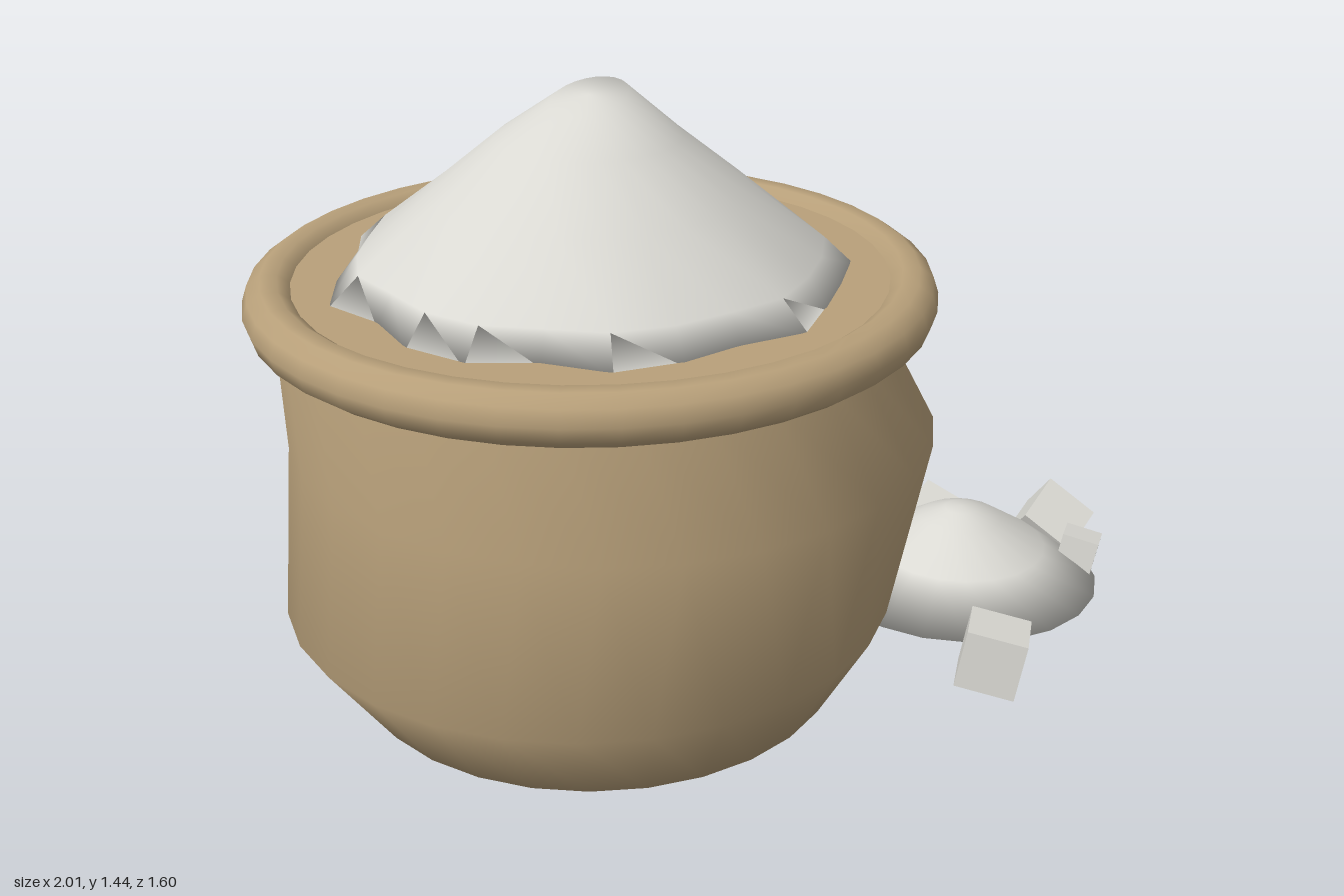
import * as THREE from 'three';

// Closed smooth surface from stacked rings (bottom to top), with a centre point at each end.
// Each ring: { x, z, r, y, dr(i, angle), dy(i, angle) }
function ringSurface(rings, seg, bottomY, topY) {
  const pos = [], index = [];
  rings.forEach(({ x = 0, z = 0, r, y, dr, dy }) => {
    for (let i = 0; i < seg; i++) {
      const a = (i / seg) * Math.PI * 2;
      const rad = r + (dr ? dr(i, a) : 0);
      pos.push(x + Math.cos(a) * rad, y + (dy ? dy(i, a) : 0), z + Math.sin(a) * rad);
    }
  });
  const first = rings[0], last = rings[rings.length - 1];
  const bottom = rings.length * seg, top = bottom + 1;
  pos.push(first.x || 0, bottomY, first.z || 0, last.x || 0, topY, last.z || 0);
  for (let i = 0; i < seg; i++) {
    const j = (i + 1) % seg, t = (rings.length - 1) * seg;
    index.push(bottom, i, j, top, t + j, t + i);
    for (let k = 0; k < rings.length - 1; k++) {
      const a = k * seg + i, d = k * seg + j;
      index.push(a, a + seg, d + seg, a, d + seg, d);
    }
  }
  const geo = new THREE.BufferGeometry();
  geo.setAttribute('position', new THREE.Float32BufferAttribute(pos, 3));
  geo.setIndex(index);
  geo.computeVertexNormals();
  return geo;
}

export function createModel() {
  const model = new THREE.Group();
  model.name = 'sackOfOre';

  const cloth = new THREE.MeshStandardMaterial({ color: 0xb8a07a });
  cloth.name = 'tan cloth';
  const ore = new THREE.MeshStandardMaterial({ color: 0xdad9d3 });
  ore.name = 'pale grey ore';

  const add = (name, geo, mat, x = 0, y = 0, z = 0) => {
    const mesh = new THREE.Mesh(geo, mat);
    mesh.name = name;
    mesh.position.set(x, y, z);
    model.add(mesh);
    return mesh;
  };
  const cx = -0.25, cz = -0.063;

  // Sagging sack: the rings drift off centre
  add('sackBody', ringSurface([
    { x: -0.25, z: -0.063, r: 0.55, y: 0.06 },
    { x: -0.283, z: -0.057, r: 0.68, y: 0.28 },
    { x: -0.217, z: -0.037, r: 0.713, y: 0.67 },
    { x: -0.267, z: -0.09, r: 0.652, y: 0.93 },
    { x: cx, z: cz, r: 0.64, y: 0.98 },
  ], 28, 0.06, 0.98), cloth);

  // Rolled rim and the cloth just inside it
  const rim = add('rolledRim', new THREE.TorusGeometry(0.688, 0.059, 10, 40), cloth, cx, 0.983, cz);
  rim.rotation.x = Math.PI / 2;
  add('innerCloth', new THREE.CylinderGeometry(0.652, 0.652, 0.06, 40), cloth, cx, 0.99, cz);

  // Main heap with a ragged edge and a tilted peak
  const ragged = (i) => 0.018 * Math.sin(i * 2.3) + 0.014 * Math.sin(i * 4.1 + 1);
  add('mainHeap', ringSurface([
    { r: 0.555, y: 1.012, dr: ragged },
    { r: 0.5, y: 1.078, dr: (i) => ragged(i) * 0.4 },
    { r: 0.34, y: 1.21 },
    { r: 0.2, y: 1.325 },
    { r: 0.085, y: 1.407, dy: (i, a) => 0.024 * Math.cos(a) },
  ], 24, 1.0, 1.412), ore, cx, 0, cz);

  // Small spilled heap on the ground
  add('spilledHeap', ringSurface([
    { r: 0.343, y: 0.06 },
    { r: 0.21, y: 0.15 },
    { r: 0.1, y: 0.222 },
    { r: 0.04, y: 0.247 },
  ], 20, 0.06, 0.25), ore, 0.622, 0, 0.375);

  // Loose chunks: x, y, z, size, then rotation
  [
    [0.262, 0.11, 0.69, 0.14, 0.2, 0.45, -0.15],
    [0.912, 0.11, 0.465, 0.14, 0.6, 0.25, 0.3],
    [0.84, 0.108, 0.592, 0.09, 0.2, 0.35, -0.2],
    [0.77, 0.108, 0.2, 0.11, 0.35, 0.15, 0.15],
    [0.57, 0.1, 0.235, 0.115, 0.6, 0.5, 0.3],
    [0.2, 0.11, 0.05, 0.09, 0.6, 0.4, 0.6],
  ].forEach(([x, y, z, s, rx, ry, rz], i) => {
    add(`oreChunk${i + 1}`, new THREE.BoxGeometry(s, s, s), ore, x, y, z).rotation.set(rx, ry, rz);
  });

  return model;
}
